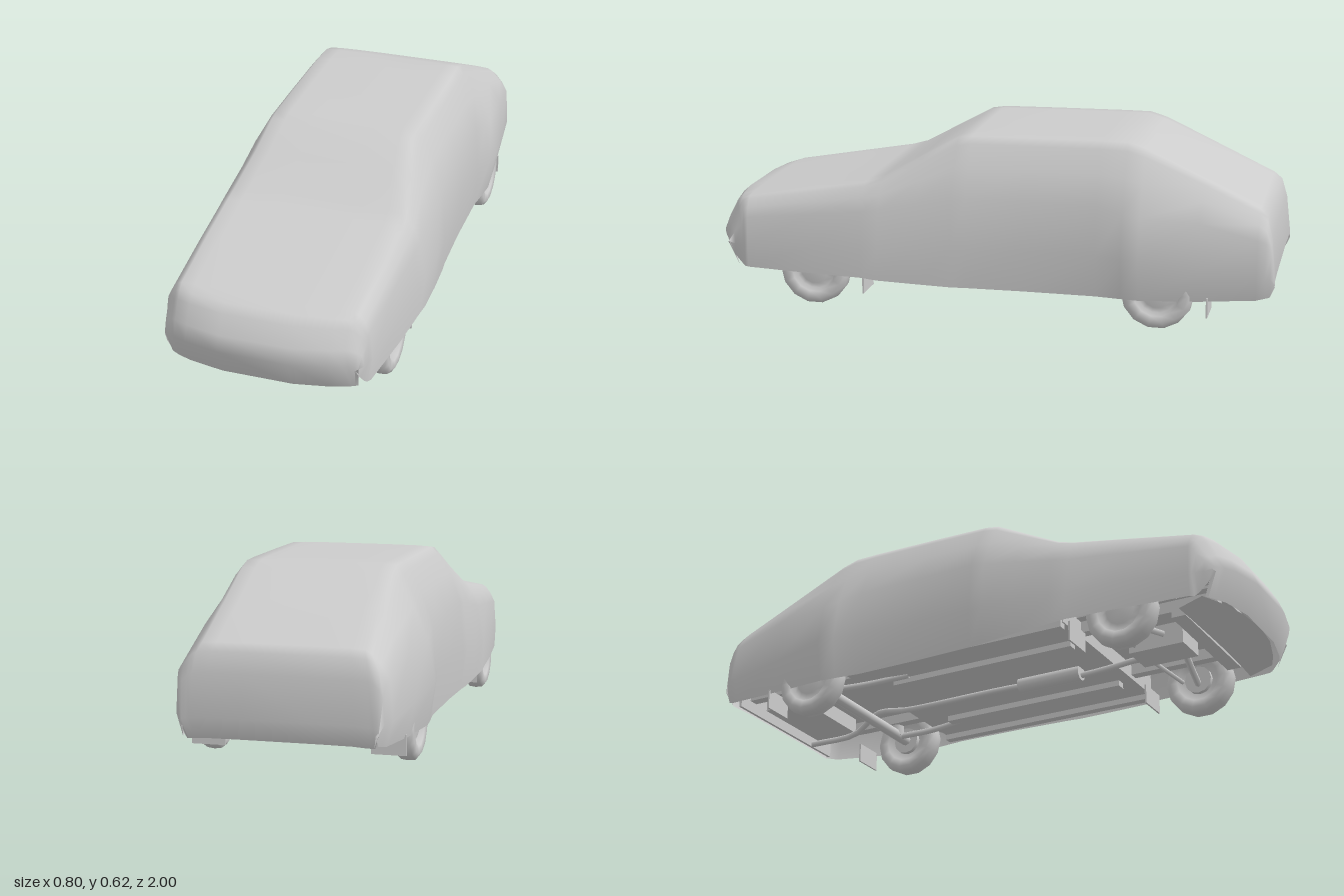
import * as THREE from 'three';

const grey = new THREE.MeshStandardMaterial({ color: 0xcccccc, side: THREE.DoubleSide });
grey.name = 'plain grey';

function add(parent, name, geometry, x = 0, y = 0, z = 0) {
  const m = new THREE.Mesh(geometry, grey);
  m.name = name;
  m.position.set(x, y, z);
  parent.add(m);
  return m;
}
const box = (g, name, w, h, d, x, y, z) => add(g, name, new THREE.BoxGeometry(w, h, d), x, y, z);
function tube(g, name, r, pts, sides = 8) {
  const curve = new THREE.CatmullRomCurve3(pts.map(p => new THREE.Vector3(...p)));
  return add(g, name, new THREE.TubeGeometry(curve, pts.length * 4, r, sides));
}

// Skin a list of equal-length rows of points
function loft(rows) {
  const n = rows[0].length, idx = [];
  for (let r = 0; r < rows.length - 1; r++)
    for (let i = 0; i < n - 1; i++) {
      const a = r * n + i, b = a + n;
      idx.push(a, a + 1, b, a + 1, b + 1, b);
    }
  const geo = new THREE.BufferGeometry();
  geo.setAttribute('position', new THREE.Float32BufferAttribute(rows.flat(2), 3));
  geo.setIndex(idx);
  geo.computeVertexNormals();
  return geo;
}

// Draped shell sections: z, hem x y, widest x y, belt x y, top edge x y
const tail = [
  [-0.975, 0.30, 0.12, 0.305, 0.12, 0.305, 0.12, 0.29, 0.12],
  [-1.0, 0.31, 0.165, 0.32, 0.17, 0.32, 0.18, 0.30, 0.19],
  [-0.985, 0.315, 0.13, 0.335, 0.2, 0.33, 0.28, 0.295, 0.33],
  [-0.967, 0.32, 0.125, 0.342, 0.2, 0.335, 0.32, 0.285, 0.395],
  [-0.94, 0.33, 0.12, 0.35, 0.2, 0.342, 0.33, 0.275, 0.42],
  [-0.75, 0.355, 0.11, 0.375, 0.22, 0.357, 0.38, 0.27, 0.51],
  [-0.55, 0.375, 0.105, 0.40, 0.25, 0.375, 0.39, 0.268, 0.603],
];
const cabin = [
  [-0.49, 0.37, 0.105, 0.392, 0.25, 0.368, 0.40, 0.268, 0.621],
  [-0.40, 0.36, 0.105, 0.37, 0.25, 0.358, 0.42, 0.27, 0.621],
  [-0.15, 0.362, 0.105, 0.37, 0.25, 0.358, 0.42, 0.27, 0.618],
  [0.05, 0.37, 0.105, 0.377, 0.24, 0.362, 0.42, 0.268, 0.615],
  [0.10, 0.375, 0.105, 0.382, 0.24, 0.365, 0.41, 0.268, 0.607],
  [0.22, 0.383, 0.11, 0.388, 0.23, 0.362, 0.39, 0.283, 0.54],
];
const nose = [
  [0.36, 0.388, 0.115, 0.386, 0.22, 0.365, 0.36, 0.31, 0.46],
  [0.42, 0.385, 0.12, 0.382, 0.22, 0.362, 0.35, 0.314, 0.442],
  [0.60, 0.373, 0.12, 0.372, 0.22, 0.355, 0.33, 0.312, 0.41],
  [0.86, 0.348, 0.12, 0.352, 0.20, 0.345, 0.30, 0.305, 0.366],
  [0.915, 0.34, 0.12, 0.35, 0.20, 0.342, 0.29, 0.30, 0.355],
  [0.945, 0.335, 0.13, 0.345, 0.20, 0.34, 0.27, 0.30, 0.33],
  [0.98, 0.33, 0.16, 0.34, 0.20, 0.335, 0.24, 0.30, 0.27],
  [1.0, 0.32, 0.20, 0.33, 0.205, 0.33, 0.21, 0.30, 0.22],
  [0.955, 0.31, 0.12, 0.32, 0.12, 0.32, 0.12, 0.30, 0.12],
];
function section([z, ax, ay, bx, by, cx, cy, tx, ty]) {
  const mix = (p, q, t) => p + (q - p) * t;
  const half = [[ax, ay], [bx, by], [cx, cy], [mix(cx, tx, 0.5) + 0.004, mix(cy, ty, 0.5)],
    [mix(cx, tx, 0.9), mix(cy, ty, 0.88)], [tx - 0.012, ty], [tx - 0.06, ty + 0.003], [tx * 0.4, ty + 0.004]];
  const all = [...half, ...half.slice().reverse().map(([x, y]) => [-x, y])];
  // The nose bows back toward its corners
  const t = THREE.MathUtils.smoothstep(z, 0.82, 0.98);
  return all.map(([x, y]) => [x, y, z - t * 0.085 * Math.pow(Math.abs(x) / 0.34, 3)]);
}

function wheel(parent, name, x, z) {
  const g = new THREE.Group();
  g.name = name;
  const profile = [[0.035, -0.012], [0.07, -0.015], [0.078, -0.033], [0.105, -0.036], [0.122, -0.024],
    [0.125, 0], [0.122, 0.024], [0.105, 0.036], [0.078, 0.033], [0.07, 0.012], [0.05, 0.022], [0, 0.022]];
  const tyre = add(g, 'tyreAndRim', new THREE.LatheGeometry(profile.map(p => new THREE.Vector2(...p)), 14));
  tyre.rotation.z = -Math.sign(x) * Math.PI / 2;
  const hub = add(g, 'brakeDrum', new THREE.CylinderGeometry(0.05, 0.05, 0.03, 12), -Math.sign(x) * 0.015);
  hub.rotation.z = Math.PI / 2;
  g.position.set(x, 0.127, z);
  parent.add(g);
}

export function createModel() {
  const model = new THREE.Group();
  model.name = 'coveredCar';
  add(model, 'fabricCover', loft([...tail, ...cabin, ...nose].map(section)));

  // Curved lower front panel
  const xs = [0.31, 0.24, 0.12, 0, -0.12, -0.24, -0.31];
  add(model, 'frontValance', loft([
    xs.map(x => [x, 0.105 - 0.027 * (1 - (x / 0.31) ** 2), 0.82 - 0.3 * x * x]),
    xs.map(x => [x, 0.13, 0.95 - 0.8 * x * x]),
  ].reverse()));

  // Floor, raised at the tail and under the engine
  const floor = new THREE.Group();
  floor.name = 'underbody';
  model.add(floor);
  box(floor, 'floorPan', 0.7, 0.01, 0.84, 0, 0.135, -0.03);
  box(floor, 'bootFloor', 0.5, 0.01, 0.5, 0, 0.2, -0.7);
  box(floor, 'rearStep', 0.6, 0.08, 0.01, 0, 0.17, -0.45);
  box(floor, 'fuelTank', 0.34, 0.06, 0.17, 0, 0.17, -0.84);
  box(floor, 'engineBayFloor', 0.5, 0.01, 0.5, 0, 0.19, 0.64);
  box(floor, 'firewall', 0.7, 0.1, 0.01, 0, 0.18, 0.39);
  box(floor, 'sump', 0.13, 0.08, 0.2, 0, 0.145, 0.6);
  box(floor, 'frontCrossMember', 0.48, 0.035, 0.05, 0, 0.13, 0.76);
  box(floor, 'rearPanel', 0.58, 0.06, 0.01, 0, 0.15, -0.955);
  for (const s of [1, -1]) {
    box(floor, 'sill', 0.03, 0.03, 0.84, s * 0.345, 0.125, -0.03);
    box(floor, 'floorRail', 0.035, 0.025, 0.7, s * 0.19, 0.122, 0);
    box(floor, 'frontRail', 0.035, 0.04, 0.5, s * 0.2, 0.165, 0.64);
    box(floor, 'rearRail', 0.035, 0.04, 0.5, s * 0.22, 0.18, -0.7);
    for (const z of [0.6, -0.61])
      box(floor, 'wheelWellWall', 0.01, 0.16, 0.32, s * 0.255, 0.25, z);
    // Mud flaps behind each wheel
    for (const z of [0.42, -0.78])
      box(model, 'mudFlap', 0.115, 0.07, 0.006, s * 0.3, 0.09, z);
    tube(model, 'trailingArm', 0.012, [[s * 0.25, 0.125, -0.6], [s * 0.24, 0.12, -0.45], [s * 0.22, 0.13, -0.28]], 6);
    tube(model, 'suspensionArm', 0.012, [[s * 0.3, 0.11, 0.6], [s * 0.2, 0.12, 0.62], [s * 0.1, 0.135, 0.64]], 6);
    const spring = add(model, 'damper', new THREE.CylinderGeometry(0.025, 0.025, 0.15, 10), s * 0.23, 0.2, -0.61);
    spring.rotation.z = s * 0.15;
  }

  // Axle and exhaust
  tube(model, 'rearAxle', 0.02, [[-0.31, 0.127, -0.61], [0, 0.127, -0.61], [0.31, 0.127, -0.61]]);
  tube(model, 'steeringRod', 0.008, [[-0.3, 0.13, 0.54], [0, 0.13, 0.52], [0.3, 0.13, 0.54]], 6);
  tube(model, 'exhaustPipe', 0.011, [[0.03, 0.13, 0.55], [0.02, 0.105, 0.3], [0, 0.105, 0],
    [0, 0.105, -0.4], [0.09, 0.16, -0.61], [0.16, 0.13, -0.75], [0.17, 0.13, -0.95]]);
  const muffler = add(model, 'muffler', new THREE.CylinderGeometry(0.028, 0.028, 0.24, 12), 0.015, 0.112, 0.16);
  muffler.rotation.x = Math.PI / 2;

  for (const s of [1, -1]) {
    wheel(model, 'frontWheel', s * 0.325, 0.6);
    wheel(model, 'rearWheel', s * 0.33, -0.61);
  }
  return model;
}
